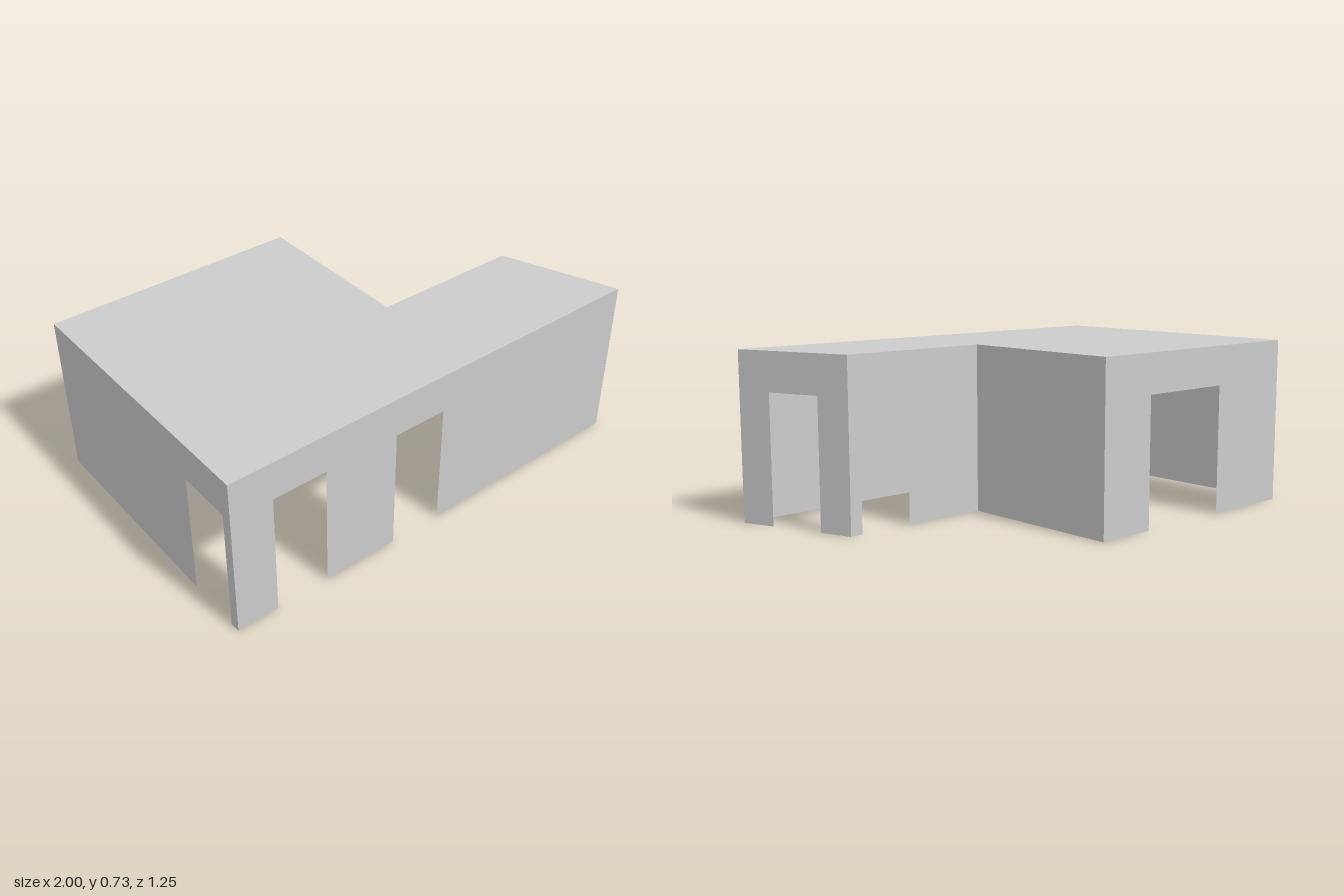
import * as THREE from 'three';

const HEIGHT = 0.73, DOOR_HEIGHT = 0.56;

// Each wall starts at a plan corner [x, z] and runs to the next one;
// doors are [start, end] distances along the wall.
const WALLS = [
  { name: 'frontWall', at: [-1, 0.627], doors: [[0.185, 0.425], [0.765, 1.005]] },
  { name: 'slantedEndWall', at: [1, 0.627], doors: [[0.152, 0.392]] },
  { name: 'wingBackWall', at: [0.812, 0.122], doors: [[0.055, 0.295]] },
  { name: 'innerSideWall', at: [0.14, 0.122], doors: [] },
  { name: 'backWall', at: [0.14, -0.627], doors: [[0.27, 0.717]] },
  { name: 'leftSideWall', at: [-1, -0.627], doors: [[0.968, 1.209]] },
];

export function createModel() {
  const model = new THREE.Group();
  model.name = 'building';
  const material = new THREE.MeshStandardMaterial({
    color: 0xcccccc, side: THREE.DoubleSide, flatShading: true,
  });

  // Thin walls, with doorways cut up from the ground
  WALLS.forEach(({ name, at: [x, z], doors }, i) => {
    const [nx, nz] = WALLS[(i + 1) % WALLS.length].at;
    const length = Math.hypot(nx - x, nz - z);
    const outline = new THREE.Shape().moveTo(0, 0);
    for (const [start, end] of doors) {
      outline.lineTo(start, 0).lineTo(start, DOOR_HEIGHT).lineTo(end, DOOR_HEIGHT).lineTo(end, 0);
    }
    outline.lineTo(length, 0).lineTo(length, HEIGHT).lineTo(0, HEIGHT).closePath();
    const wall = new THREE.Mesh(new THREE.ShapeGeometry(outline), material);
    wall.name = name;
    wall.position.set(x, 0, z);
    wall.rotation.y = Math.atan2(z - nz, nx - x);
    model.add(wall);
  });

  // Flat roof following the plan
  const plan = new THREE.Shape(WALLS.map(({ at: [x, z] }) => new THREE.Vector2(x, -z)));
  const roof = new THREE.Mesh(new THREE.ShapeGeometry(plan).rotateX(-Math.PI / 2), material);
  roof.name = 'roof';
  roof.position.y = HEIGHT;
  model.add(roof);

  return model;
}
